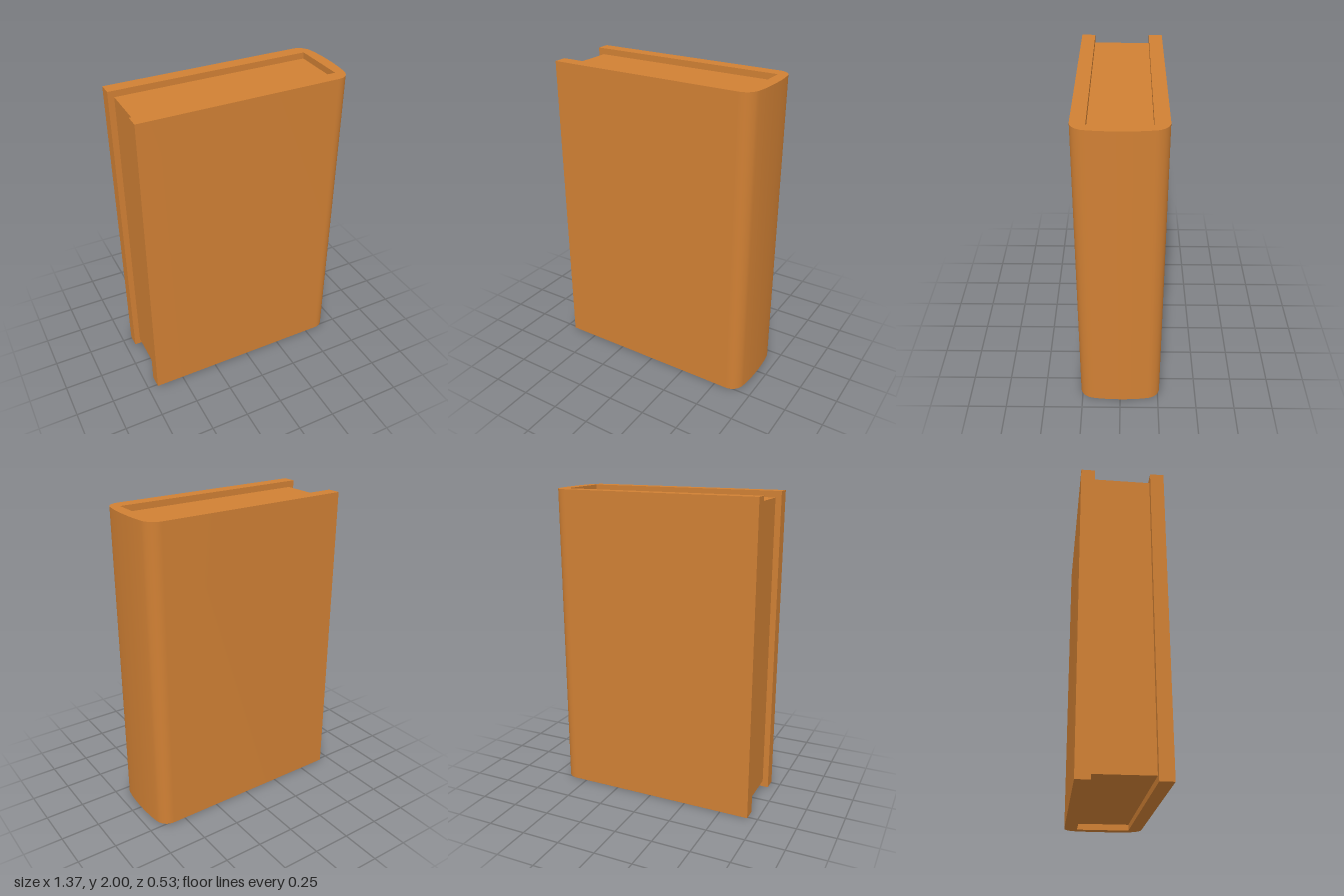
import * as THREE from 'three';
import { toCreasedNormals } from 'three/addons/utils/BufferGeometryUtils.js';

const HEIGHT = 2;
const FORE = -0.685;   // open edge of the boards
const SPINE = 0.683;   // outermost point of the spine
const OUT = 0.263;     // half thickness of the closed book
const IN = 0.177;      // half thickness of the page block
const INNER = 0.611;   // inside face of the spine
const RECESS = 0.04;   // pages stop short of the cover edges

export function createModel() {
  const book = new THREE.Group();
  book.name = 'book';
  const material = new THREE.MeshStandardMaterial({ color: 0xd08034 });

  // Cover: U-shaped section with a softly rounded spine, extruded upwards
  const section = new THREE.Shape();
  section.moveTo(FORE, -OUT);
  section.lineTo(0.58, -OUT);
  section.quadraticCurveTo(0.642, -OUT, 0.667, -0.2);
  section.quadraticCurveTo(SPINE, -0.12, SPINE, 0);
  section.quadraticCurveTo(SPINE, 0.12, 0.667, 0.2);
  section.quadraticCurveTo(0.642, OUT, 0.58, OUT);
  section.lineTo(FORE, OUT);
  section.lineTo(FORE, IN);
  section.lineTo(INNER, IN);
  section.lineTo(INNER, -IN);
  section.lineTo(FORE, -IN);
  section.closePath();
  const coverGeometry = new THREE.ExtrudeGeometry(section, {
    depth: HEIGHT, bevelEnabled: false, curveSegments: 10,
  });
  coverGeometry.rotateX(-Math.PI / 2);
  const cover = new THREE.Mesh(toCreasedNormals(coverGeometry, Math.PI / 5), material);
  cover.name = 'cover';

  // Page block, set back from the top, bottom and fore edge
  const pageFore = -0.647;
  const pages = new THREE.Mesh(
    new THREE.BoxGeometry(INNER - pageFore, HEIGHT - 2 * RECESS, 2 * IN), material);
  pages.name = 'pages';
  pages.position.set((INNER + pageFore) / 2, HEIGHT / 2, 0);

  book.add(cover, pages);
  return book;
}
